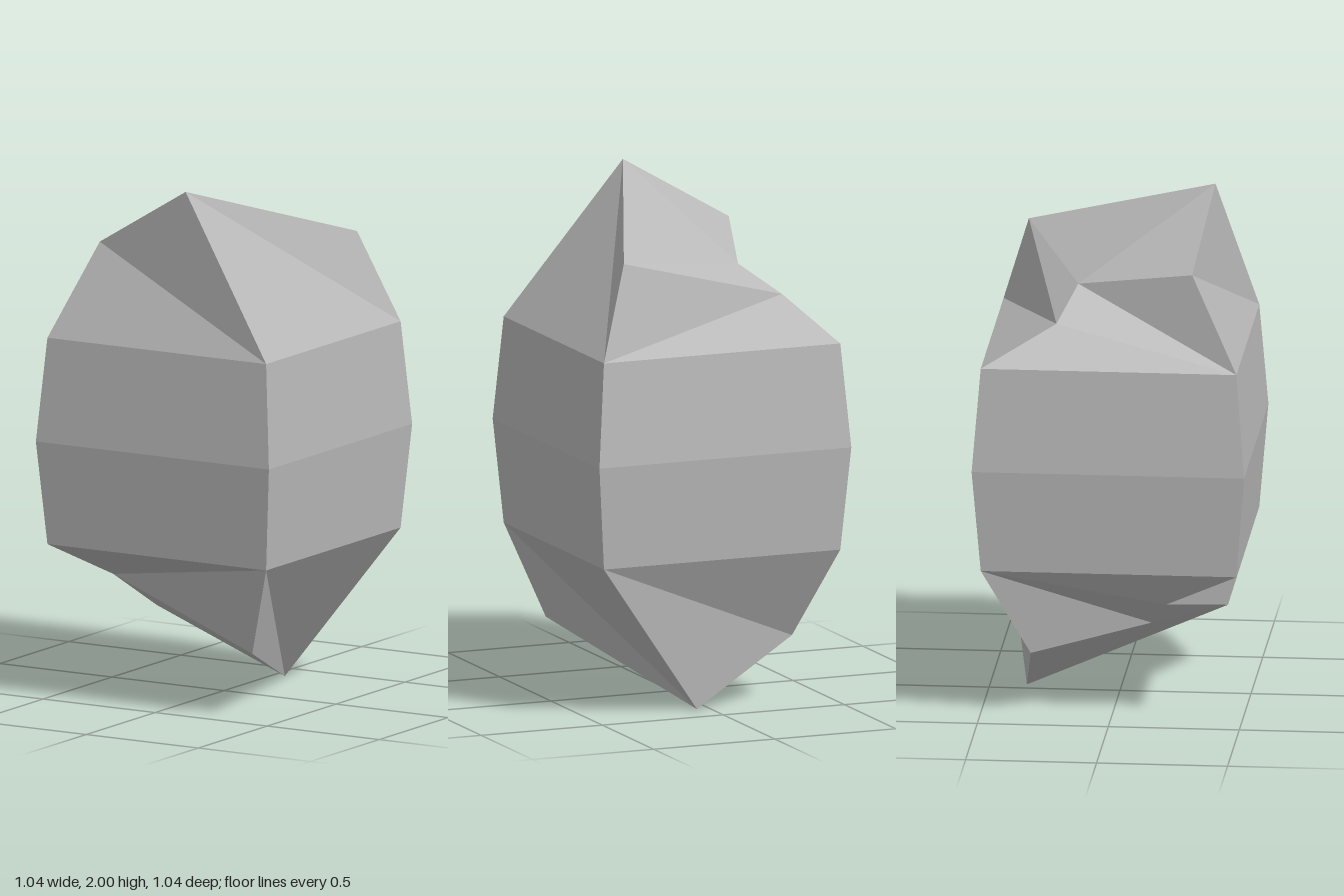
import * as THREE from 'three';

// Heights are measured from the middle of the stone.
const corners = {
  // widest square
  wBL: [-0.52, 0, -0.52], wBR: [0.52, 0, -0.52], wFR: [0.52, 0, 0.52], wFL: [-0.52, 0, 0.52],
  // upper square
  BL: [-0.488, 0.4, -0.488], BR: [0.488, 0.4, -0.488], FR: [0.488, 0.4, 0.488], FL: [-0.488, 0.4, 0.488],
  // irregular crown
  peak: [0.05, 1, 0.36], right: [0.36, 0.755, -0.38], left: [-0.365, 0.755, 0.308],
  notch: [-0.213, 0.667, -0.14], dip: [-0.365, 0.55, -0.21],
};

const crownFaces = [
  ['BL', 'dip', 'BR'], ['dip', 'right', 'BR'], ['dip', 'notch', 'right'],
  ['notch', 'peak', 'right'], ['notch', 'left', 'peak'],
  ['left', 'FL', 'FR'], ['left', 'FR', 'peak'],
  ['peak', 'FR', 'BR'], ['peak', 'BR', 'right'],
  ['BL', 'FL', 'dip'], ['dip', 'FL', 'notch'], ['notch', 'FL', 'left'],
];

// Four sloping walls between the two squares
const wallFaces = [];
const order = ['FL', 'FR', 'BR', 'BL'];
order.forEach((a, i) => {
  const b = order[(i + 1) % 4];
  wallFaces.push(['w' + a, 'w' + b, b], ['w' + a, b, a]);
});

function facetGeometry(faces) {
  const geometry = new THREE.BufferGeometry();
  const positions = faces.flat().flatMap((name) => corners[name]);
  geometry.setAttribute('position', new THREE.Float32BufferAttribute(positions, 3));
  geometry.computeVertexNormals();
  return geometry;
}

export function createModel() {
  const stone = new THREE.MeshStandardMaterial({ color: 0xb8b8b8, flatShading: true });
  stone.name = 'grey stone';
  const model = new THREE.Group();
  model.name = 'stone';
  const crown = facetGeometry(crownFaces);
  const walls = facetGeometry(wallFaces);

  // The lower half is the upper half turned over about the x axis
  for (const [side, turn] of [['upper', 0], ['lower', Math.PI]]) {
    const half = new THREE.Group();
    half.name = side + 'Half';
    for (const [part, geometry] of [['Crown', crown], ['Walls', walls]]) {
      const mesh = new THREE.Mesh(geometry, stone);
      mesh.name = side + part;
      half.add(mesh);
    }
    half.rotation.x = turn;
    half.position.y = 1;
    model.add(half);
  }
  return model;
}
